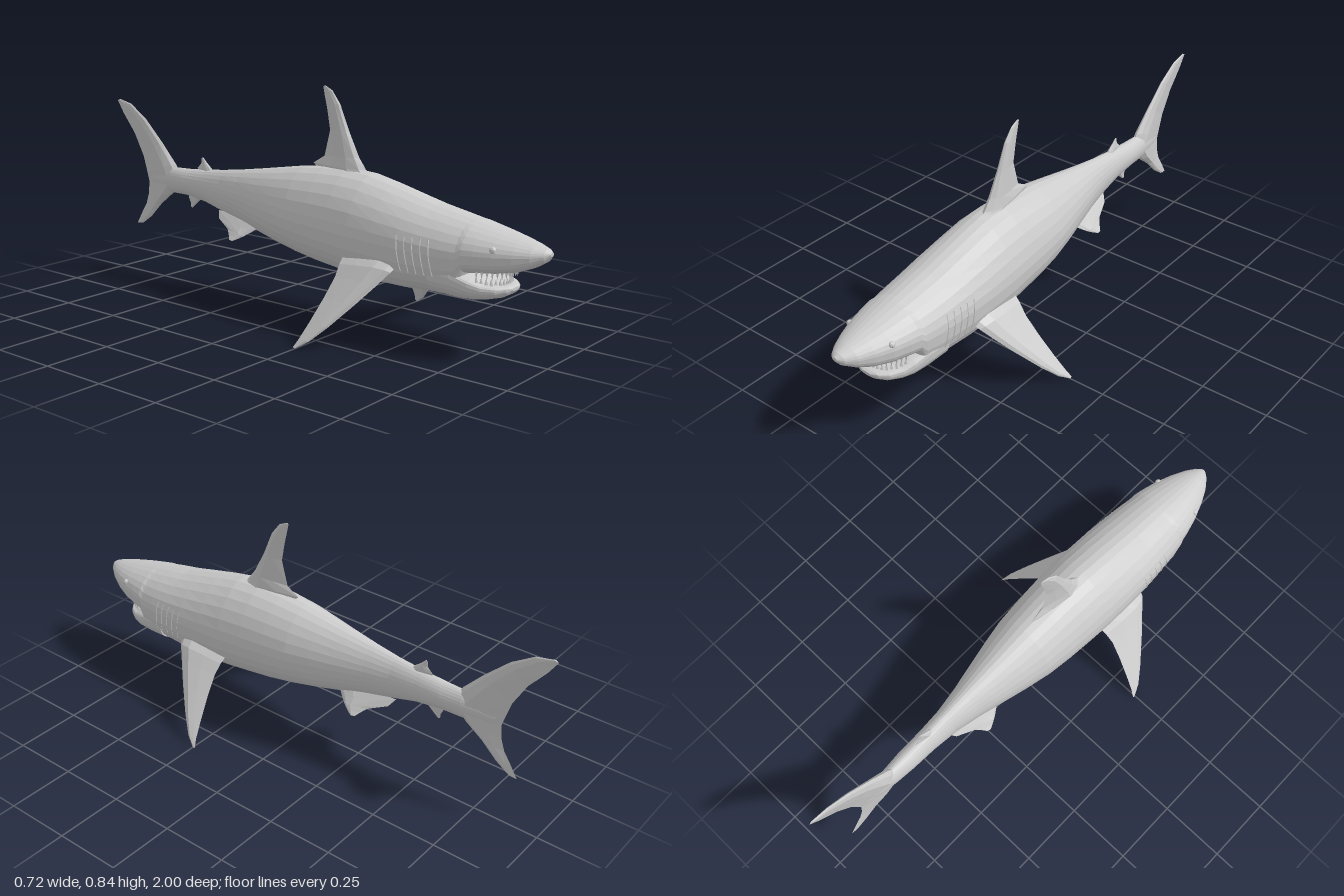
import * as THREE from 'three';

const grey = new THREE.MeshStandardMaterial({ color: 0xcccccc, flatShading: true });
const SIDES = 28;

// Closed skin through a list of rings, with a fan over each end; always faces outward.
function loft(name, rings) {
  const n = rings[0].length, pts = rings.flat(), idx = [];
  for (let i = 0; i < rings.length - 1; i++) {
    for (let j = 0; j < n; j++) {
      const a = i * n + j, b = i * n + (j + 1) % n;
      idx.push(a, a + n, b, b, a + n, b + n);
    }
  }
  [0, rings.length - 1].forEach((r, end) => {
    const c = new THREE.Vector3();
    rings[r].forEach(p => c.addScaledVector(p, 1 / n));
    pts.push(c);
    for (let j = 0; j < n; j++) {
      const a = r * n + j, b = r * n + (j + 1) % n;
      if (end) idx.push(b, a, pts.length - 1);
      else idx.push(a, b, pts.length - 1);
    }
  });
  let volume = 0;
  const cross = new THREE.Vector3();
  for (let i = 0; i < idx.length; i += 3) {
    volume += pts[idx[i]].dot(cross.crossVectors(pts[idx[i + 1]], pts[idx[i + 2]]));
  }
  if (volume < 0) idx.reverse();
  const geo = new THREE.BufferGeometry().setFromPoints(pts);
  geo.setIndex(idx);
  const flat = geo.toNonIndexed();
  flat.computeVertexNormals();
  const mesh = new THREE.Mesh(flat, grey);
  mesh.name = name;
  return mesh;
}

// Rounded cross-section: [z, top, bottom, half width, height of widest point, lower exponent]
function section([z, top, bottom, w, mid, low], high) {
  const ring = [];
  for (let j = 0; j < SIDES; j++) {
    const a = (j / SIDES) * Math.PI * 2, c = Math.cos(a), s = Math.sin(a);
    const e = 2 / (s >= 0 ? high : low);
    const h = s >= 0 ? top - mid : mid - bottom;
    ring.push(new THREE.Vector3(
      w * Math.sign(c) * Math.abs(c) ** e, mid + h * Math.sign(s) * Math.abs(s) ** e, z));
  }
  return ring;
}

const bodyRows = [
  [1.0, 0.384, 0.370, 0.010, 0.377, 2.2],
  [0.985, 0.394, 0.350, 0.030, 0.371, 2.4],
  [0.95, 0.406, 0.328, 0.056, 0.366, 2.8],
  [0.90, 0.419, 0.308, 0.081, 0.363, 3.2],
  [0.84, 0.433, 0.297, 0.104, 0.360, 3.5],
  [0.78, 0.446, 0.291, 0.120, 0.358, 3.5],
  [0.74, 0.455, 0.286, 0.128, 0.356, 3.5],
  [0.72, 0.459, 0.210, 0.132, 0.340, 2.5],
  [0.66, 0.471, 0.192, 0.140, 0.340, 2.5],
  [0.58, 0.486, 0.190, 0.147, 0.342, 2.5],
  [0.50, 0.506, 0.186, 0.152, 0.346, 2.5],
  [0.40, 0.531, 0.185, 0.154, 0.350, 2.4],
  [0.30, 0.553, 0.190, 0.153, 0.355, 2.4],
  [0.20, 0.560, 0.199, 0.148, 0.360, 2.3],
  [0.10, 0.555, 0.211, 0.141, 0.365, 2.3],
  [0.0, 0.545, 0.226, 0.131, 0.370, 2.2],
  [-0.10, 0.528, 0.246, 0.111, 0.378, 2.2],
  [-0.20, 0.511, 0.268, 0.088, 0.385, 2.1],
  [-0.30, 0.495, 0.291, 0.065, 0.393, 2],
  [-0.40, 0.481, 0.316, 0.047, 0.400, 2],
  [-0.50, 0.470, 0.343, 0.040, 0.406, 2],
  [-0.60, 0.462, 0.357, 0.038, 0.410, 2],
  [-0.68, 0.460, 0.357, 0.031, 0.410, 2],
  [-0.74, 0.450, 0.360, 0.021, 0.408, 2],
  [-0.80, 0.425, 0.375, 0.008, 0.402, 2],
];
const jawRows = [
  [0.874, 0.249, 0.238, 0.020, 0.244, 2.2],
  [0.865, 0.254, 0.226, 0.045, 0.243, 2.2],
  [0.84, 0.257, 0.212, 0.075, 0.240, 2.2],
  [0.80, 0.264, 0.201, 0.100, 0.242, 2.2],
  [0.76, 0.281, 0.193, 0.116, 0.252, 2.3],
  [0.70, 0.300, 0.190, 0.130, 0.275, 2.4],
  [0.62, 0.300, 0.195, 0.135, 0.280, 2.4],
];

// Point on the flank of the body at a given z and y
function flank(z, y, side) {
  const i = bodyRows.findIndex(r => r[0] <= z), a = bodyRows[i - 1], b = bodyRows[i];
  const t = (a[0] - z) / (a[0] - b[0]);
  const [, top, bottom, w, mid, low] = a.map((v, k) => v + (b[k] - v) * t);
  const n = y > mid ? 1.8 : low;
  const v = y > mid ? (y - mid) / (top - mid) : (mid - y) / (mid - bottom);
  return new THREE.Vector3(side * w * (1 - v ** n) ** (1 / n), y, z);
}

// Fin from stations [leading point, trailing point, half thickness]
const foil = [[0, 0], [0.08, 0.6], [0.28, 1], [0.62, 0.6], [1, 0], [0.62, -0.6], [0.28, -1], [0.08, -0.6]];
function fin(name, stations, normal = [1, 0, 0], side = 1) {
  const flip = new THREE.Vector3(side, 1, 1), nrm = new THREE.Vector3(...normal);
  return loft(name, stations.map(([l, t, thick]) => foil.map(([u, k]) =>
    new THREE.Vector3(...l).lerp(new THREE.Vector3(...t), u).addScaledVector(nrm, k * thick).multiply(flip))));
}
// Upright fin on the centre plane: [leading z, leading y, trailing z, trailing y, half thickness]
const uprightFin = (name, rows) =>
  fin(name, rows.map(([lz, ly, tz, ty, h]) => [[0, ly, lz], [0, ty, tz], h]));

// Row of pointed teeth around the jaw arc
function teeth(name, count, width, depth, length, heightAt, down) {
  const group = new THREE.Group();
  group.name = name;
  for (let i = 0; i < count; i++) {
    const a = ((i + 0.5) / count - 0.5) * 2.7;
    const len = length * (0.85 + 0.15 * Math.cos(i * 2.4));
    const tooth = new THREE.Mesh(new THREE.ConeGeometry(0.0065, len, 4), grey);
    tooth.name = 'tooth';
    tooth.position.set(width * Math.sin(a), heightAt(Math.cos(a)), 0.75 + depth * Math.cos(a));
    if (down) tooth.rotation.x = Math.PI;
    group.add(tooth);
  }
  return group;
}

export function createModel() {
  const model = new THREE.Group();
  model.name = 'shark';

  // Body with snout, and the separate lower jaw
  model.add(loft('body', bodyRows.map(r => section(r, 1.8))));
  model.add(loft('lowerJaw', jawRows.map(r => section(r, 3.5))));
  model.add(teeth('upperTeeth', 18, 0.100, 0.118, 0.036, c => 0.293 + 0.004 * (1 - c), true));
  model.add(teeth('lowerTeeth', 16, 0.092, 0.098, 0.028, c => 0.266 + 0.016 * (1 - c), false));

  // Fins on the centre plane
  model.add(uprightFin('dorsalFin', [
    [0.34, 0.50, 0.08, 0.52, 0.036], [0.27, 0.56, 0.035, 0.56, 0.030],
    [0.24, 0.60, 0.085, 0.59, 0.024], [0.195, 0.685, 0.11, 0.685, 0.016],
    [0.155, 0.78, 0.095, 0.765, 0.010], [0.12, 0.825, 0.085, 0.805, 0.005],
    [0.09, 0.84, 0.078, 0.838, 0.002]]));
  model.add(uprightFin('secondDorsalFin', [
    [-0.45, 0.45, -0.54, 0.45, 0.014], [-0.475, 0.478, -0.55, 0.472, 0.010],
    [-0.50, 0.498, -0.53, 0.49, 0.006], [-0.518, 0.516, -0.526, 0.514, 0.002]]));
  model.add(uprightFin('analFin', [
    [-0.51, 0.375, -0.60, 0.375, 0.012], [-0.535, 0.348, -0.60, 0.345, 0.009],
    [-0.56, 0.326, -0.59, 0.326, 0.005], [-0.58, 0.309, -0.59, 0.311, 0.002]]));
  model.add(uprightFin('tailFin', [
    [-0.985, 0.706, -1.0, 0.70, 0.003], [-0.92, 0.692, -0.967, 0.65, 0.006],
    [-0.835, 0.637, -0.905, 0.575, 0.010], [-0.745, 0.552, -0.855, 0.485, 0.015],
    [-0.67, 0.472, -0.835, 0.42, 0.024], [-0.63, 0.41, -0.825, 0.385, 0.028],
    [-0.69, 0.352, -0.83, 0.335, 0.022], [-0.755, 0.302, -0.845, 0.29, 0.013],
    [-0.815, 0.242, -0.872, 0.25, 0.008], [-0.868, 0.205, -0.902, 0.201, 0.003]]));

  // Paired fins, eyes and gills
  for (const side of [1, -1]) {
    const label = side > 0 ? 'left' : 'right';
    model.add(fin(label + 'PectoralFin', [
      [[0.10, 0.30, 0.51], [0.10, 0.31, 0.27], 0.024], [[0.155, 0.262, 0.49], [0.16, 0.258, 0.28], 0.021],
      [[0.19, 0.215, 0.455], [0.19, 0.22, 0.285], 0.018], [[0.24, 0.152, 0.405], [0.24, 0.156, 0.277], 0.014],
      [[0.30, 0.076, 0.34], [0.30, 0.08, 0.262], 0.010], [[0.34, 0.026, 0.29], [0.34, 0.03, 0.25], 0.006],
      [[0.36, 0.001, 0.25], [0.36, 0.003, 0.24], 0.001]], [0.78, 0.62, 0], side));
    model.add(fin(label + 'PelvicFin', [
      [[0.03, 0.31, -0.17], [0.02, 0.325, -0.42], 0.012], [[0.062, 0.275, -0.215], [0.04, 0.298, -0.40], 0.009],
      [[0.078, 0.258, -0.24], [0.066, 0.270, -0.33], 0.007], [[0.088, 0.247, -0.26], [0.082, 0.253, -0.31], 0.004],
      [[0.097, 0.238, -0.28], [0.095, 0.24, -0.297], 0.002]], [0.76, 0.65, 0], side));

    const eye = new THREE.Mesh(new THREE.SphereGeometry(0.012, 12, 8), grey);
    eye.name = label + 'Eye';
    eye.position.copy(flank(0.84, 0.382, side)).x -= side * 0.005;
    model.add(eye);

    for (let i = 0; i < 5; i++) {
      const z = 0.64 - i * 0.03;
      const path = [0.27, 0.31, 0.35, 0.39].map((y, k) => flank(z - 0.006 * k, y, side));
      const gill = new THREE.Mesh(
        new THREE.TubeGeometry(new THREE.CatmullRomCurve3(path), 8, 0.0025, 5), grey);
      gill.name = label + 'Gill';
      model.add(gill);
    }
  }
  return model;
}
